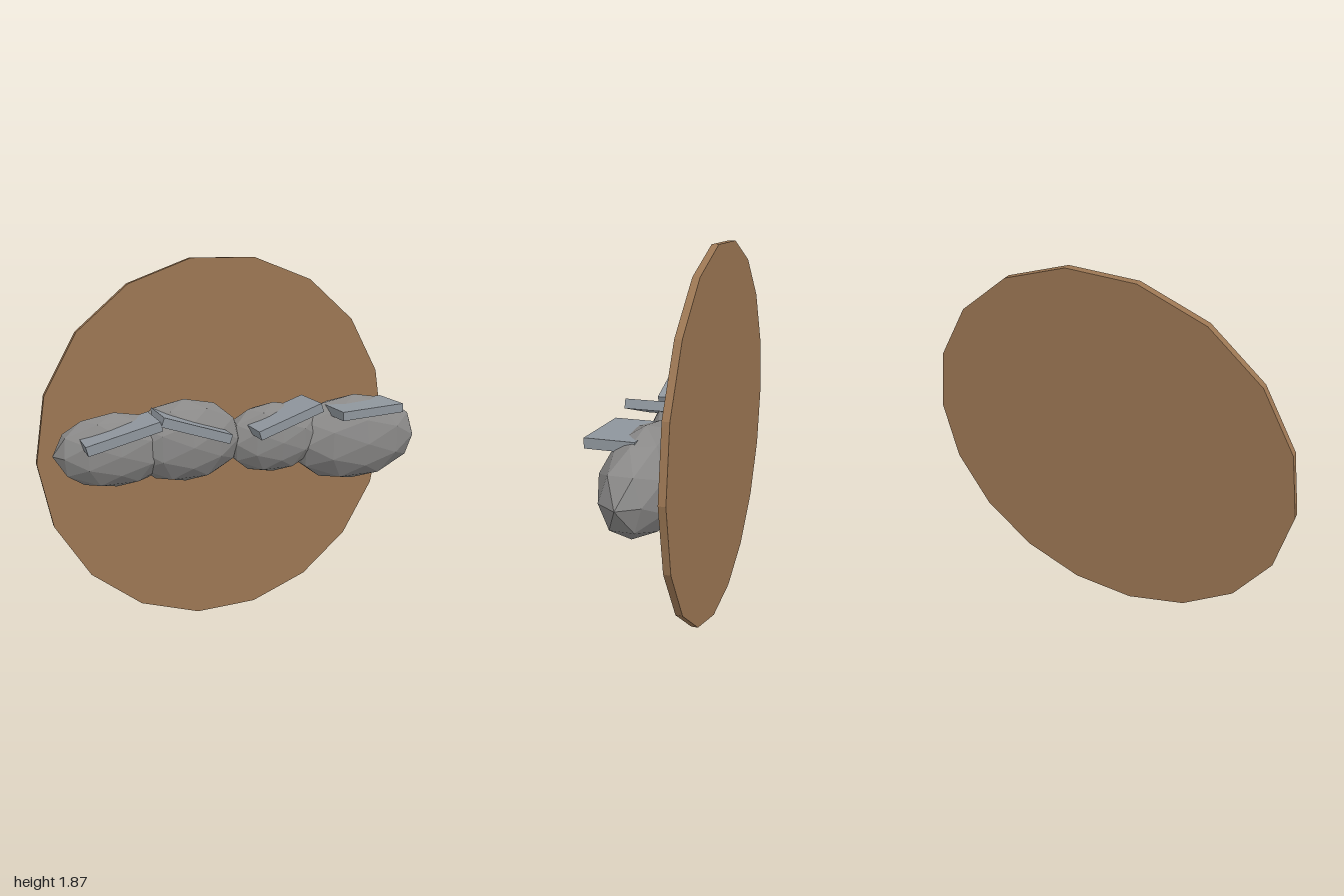
import * as THREE from 'three';

const material = (color) => new THREE.MeshStandardMaterial({ color, flatShading: true });

export function createModel() {
  const group = new THREE.Group();
  const wood = material(0x9b7653);
  const stone = material(0x8a8988);
  const slate = material(0x8f969d);

  const add = (name, geometry, mat, x, y, z) => {
    const mesh = new THREE.Mesh(geometry, mat);
    mesh.name = name;
    mesh.position.set(x, y, z);
    group.add(mesh);
    return mesh;
  };

  // Upright 18-sided backing disc, with corners at its left and right ends
  const disc = new THREE.CylinderGeometry(0.947, 0.947, 0.033, 18, 1, false, Math.PI / 2);
  disc.rotateX(Math.PI / 2);
  add('backingDisc', disc, wood, -0.054, 0.933, -0.173);

  // Row of faceted boulders: x, y, then radii along x, y, z
  const boulders = [
    [-0.655, 1.005, 0.29, 0.18, 0.13],
    [-0.315, 1.015, 0.29, 0.205, 0.15],
    [0.155, 0.983, 0.265, 0.182, 0.13],
    [0.622, 0.936, 0.376, 0.231, 0.17],
  ];
  boulders.forEach(([x, y, rx, ry, rz], i) => {
    const rock = new THREE.IcosahedronGeometry(1, 1).scale(rx, ry, rz);
    add(`boulder${i + 1}`, rock, stone, x, y, -0.018);
  });

  // Tilted ledge on each boulder: x, y, tilt in degrees
  const ledges = [
    [-0.655, 1.11, 13.5],
    [-0.317, 1.112, -19],
    [0.16, 1.11, 18.5],
    [0.615, 1.115, 2.5],
  ];
  ledges.forEach(([x, y, tilt], i) => {
    const ledge = new THREE.BoxGeometry(0.347, 0.045, 0.218);
    add(`ledge${i + 1}`, ledge, slate, x, y, 0.081).rotation.z = THREE.MathUtils.degToRad(tilt);
  });

  return group;
}
